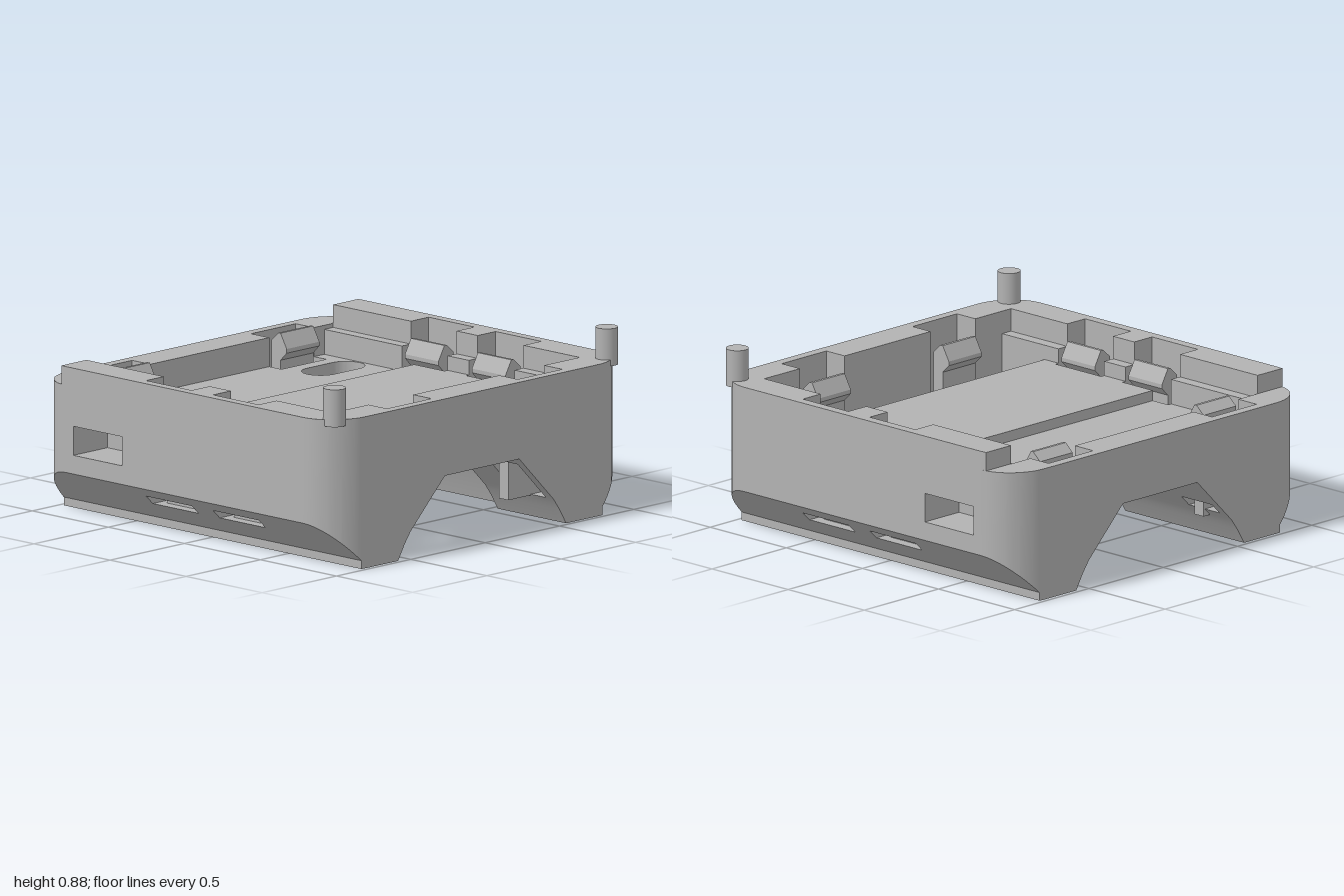
import * as THREE from 'three';
import { toCreasedNormals } from 'three/addons/utils/BufferGeometryUtils.js';

const EPS = 1e-5;

// Underside profiles (|x|, y): channel at both ends, and the wider middle channel
const endChannel = [[0, 0.36], [0.25, 0.36], [0.4, 0.21], [0.48, 0.13], [0.52, 0.075], [0.565, 0], [0.81, 0]];
const midChannel = [[0, 0.5], [0.33, 0.5], [0.5, 0.31], [0.58, 0.2], [0.62, 0.12], [0.66, 0], [0.81, 0]];

// Clip pockets: x0, x1 (mirrored), z0, z1, pocket floor
const pockets = [
  [0.29, 0.59, 0.73, 0.93, 0.13],
  [0.4, 0.7, -0.93, -0.73, 0.16],
  [0.75, 0.95, -0.3, 0, 0.13],
  [0.75, 0.95, 0.14, 0.44, 0.13],
];

function interpolate(points, a) {
  for (let i = 1; i < points.length; i++) {
    const [x0, y0] = points[i - 1], [x1, y1] = points[i];
    if (a <= x1 + EPS) return y0 + (y1 - y0) * (a - x0) / (x1 - x0);
  }
  return 0;
}

// Rounded footprint: half depth at x
function halfDepth(x) {
  const t = Math.max(0, (Math.abs(x) - 0.78) / 0.22);
  return 0.78 + 0.2 * Math.sqrt(Math.max(0, 1 - t * t));
}

// Solid intervals [bottom(x), top(x)] of the body's column at a cell centre
function column(cx, cz) {
  const a = Math.abs(cx);
  const profile = cz > -0.2 && cz < 0.53 ? midChannel : endChannel;
  const low = a > 0.81
    ? x => 0.04 + (Math.abs(x) - 0.81) * 0.18 / 0.19
    : x => interpolate(profile, Math.abs(x));
  const flat = y => () => y;

  for (const [x0, x1, z0, z1, y] of pockets) {
    if (a > x0 && a < x1 && cz > z0 && cz < z1) return low(cx) < y ? [[low, flat(y)]] : [];
  }
  let top = 0.73;
  if (cz < -0.81) top = 0.64;
  else if (cz < 0.81 && a < 0.77) top = cz < -0.2 ? 0.5 : cz < 0.53 ? 0.55 : 0.41;
  else if (cz < 0.81 && a < 0.83) top = 0.62;
  // seat for the plate with the oval recess
  if (a > 0.41 && a < 0.76 && cz > -0.66 && cz < -0.48) top = 0.4;
  // port in the side wall
  if (a > 0.77 && cz > -0.73 && cz < -0.41) return [[low, flat(0.31)], [flat(0.45), flat(top)]];
  return [[low, flat(top)]];
}

// Body: a grid of columns, with walls wherever neighbouring columns differ
function bodyGeometry() {
  const half = [0.25, 0.29, 0.33, 0.4, 0.41, 0.45, 0.48, 0.5, 0.52, 0.565, 0.58, 0.59, 0.62,
    0.66, 0.7, 0.75, 0.76, 0.77, 0.78, 0.81, 0.83, 0.905, 0.95];
  for (let i = 1; i <= 10; i++) half.push(0.78 + 0.22 * Math.sin(i * Math.PI / 20));
  half.sort((p, q) => p - q);
  const xs = [...half.map(x => -x).reverse(), ...half];
  const zs = [-0.98, -0.93, -0.81, -0.73, -0.66, -0.48, -0.41, -0.3, -0.2, 0, 0.14, 0.44, 0.53, 0.73, 0.81, 0.93, 0.98];
  const nx = xs.length - 1, nz = zs.length - 1;
  const cell = (i, j) => i < 0 || j < 0 || i >= nx || j >= nz ? []
    : column((xs[i] + xs[i + 1]) / 2, (zs[j] + zs[j + 1]) / 2);
  const point = (i, j) => {
    const h = halfDepth(xs[i]);
    return [xs[i], THREE.MathUtils.clamp(zs[j], -h, h)];
  };

  const positions = [];
  const tri = (a, b, c) => {
    const u = new THREE.Vector3(...b).sub(new THREE.Vector3(...a));
    const v = new THREE.Vector3(...c).sub(new THREE.Vector3(...a));
    if (u.cross(v).length() > 1e-8) positions.push(...a, ...b, ...c);
  };
  const quad = (a, b, c, d) => { tri(a, b, c); tri(a, c, d); };

  const wall = (solid, other, p, q) => {
    for (const [b, t] of solid) {
      for (let k = 0; k <= other.length; k++) {
        const span = x => {
          const lo = Math.max(b(x), k ? other[k - 1][1](x) : -9);
          return [lo, Math.max(lo, Math.min(t(x), k < other.length ? other[k][0](x) : 9))];
        };
        const [p0, p1] = span(p[0]), [q0, q1] = span(q[0]);
        if (p1 - p0 < EPS && q1 - q0 < EPS) continue;
        quad([p[0], p0, p[1]], [q[0], q0, q[1]], [q[0], q1, q[1]], [p[0], p1, p[1]]);
      }
    }
  };

  for (let i = 0; i < nx; i++) {
    for (let j = 0; j < nz; j++) {
      const solid = cell(i, j);
      const a = point(i, j), b = point(i, j + 1), c = point(i + 1, j + 1), d = point(i + 1, j);
      for (const [low, top] of solid) {
        const at = (f, p) => [p[0], f(p[0]), p[1]];
        quad(at(top, a), at(top, b), at(top, c), at(top, d));
        quad(at(low, d), at(low, c), at(low, b), at(low, a));
      }
      wall(solid, cell(i + 1, j), c, d);
      wall(solid, cell(i - 1, j), a, b);
      wall(solid, cell(i, j + 1), b, c);
      wall(solid, cell(i, j - 1), d, a);
    }
  }
  const geometry = new THREE.BufferGeometry();
  geometry.setAttribute('position', new THREE.Float32BufferAttribute(positions, 3));
  return toCreasedNormals(geometry, 0.5);
}

// Spring clip: arm with a bevelled lip pointing along +x
function clipGeometry() {
  const outline = [[0, 0.125], [0, 0.62], [0.045, 0.66], [0.06, 0.66], [0.1, 0.59], [0.1, 0.57], [0.06, 0.53], [0.06, 0.125]];
  const shape = new THREE.Shape(outline.map(p => new THREE.Vector2(...p)));
  return new THREE.ExtrudeGeometry(shape, { depth: 0.22, bevelEnabled: false }).translate(0, 0, -0.11);
}

// Floor plate with an oval opening
function ovalPlateGeometry() {
  const shape = new THREE.Shape();
  shape.moveTo(-0.175, -0.09).lineTo(0.175, -0.09).lineTo(0.175, 0.09).lineTo(-0.175, 0.09).closePath();
  const oval = new THREE.Path();
  oval.absarc(0.085, 0, 0.0895, -Math.PI / 2, Math.PI / 2, false);
  oval.absarc(-0.085, 0, 0.0895, Math.PI / 2, Math.PI * 1.5, false);
  oval.closePath();
  shape.holes.push(oval);
  const g = new THREE.ExtrudeGeometry(shape, { depth: 0.1, bevelEnabled: false, curveSegments: 16 });
  return toCreasedNormals(g.rotateX(-Math.PI / 2), 0.5);
}

export function createModel() {
  const model = new THREE.Group();
  model.name = 'mountingTray';
  const grey = new THREE.MeshStandardMaterial({ color: 0xb2b2b2 });
  grey.name = 'grey plastic';

  const add = (name, geometry, x, y, z, turn = 0) => {
    const mesh = new THREE.Mesh(geometry, grey);
    mesh.name = name;
    mesh.position.set(x, y, z);
    mesh.rotation.y = turn;
    model.add(mesh);
  };

  add('trayBody', bodyGeometry(), 0, 0, 0);

  const clip = clipGeometry();
  const plate = ovalPlateGeometry();
  const peg = new THREE.CylinderGeometry(0.054, 0.054, 0.18, 32);
  for (const s of [1, -1]) {
    const side = s > 0 ? 'left' : 'right';
    add(side + 'Peg', peg, s * 0.915, 0.79, 0.905);
    add(side + 'OvalRecess', plate, s * 0.585, 0.4, -0.57);
    add(side + 'FrontClip', clip, s * 0.44, 0, 0.83, Math.PI / 2);
    add(side + 'BackClip', clip, s * 0.55, 0, -0.835, -Math.PI / 2);
    for (const z of [-0.15, 0.29]) add(side + 'SideClip', clip, s * 0.85, 0, z, s > 0 ? Math.PI : 0);
  }
  return model;
}
